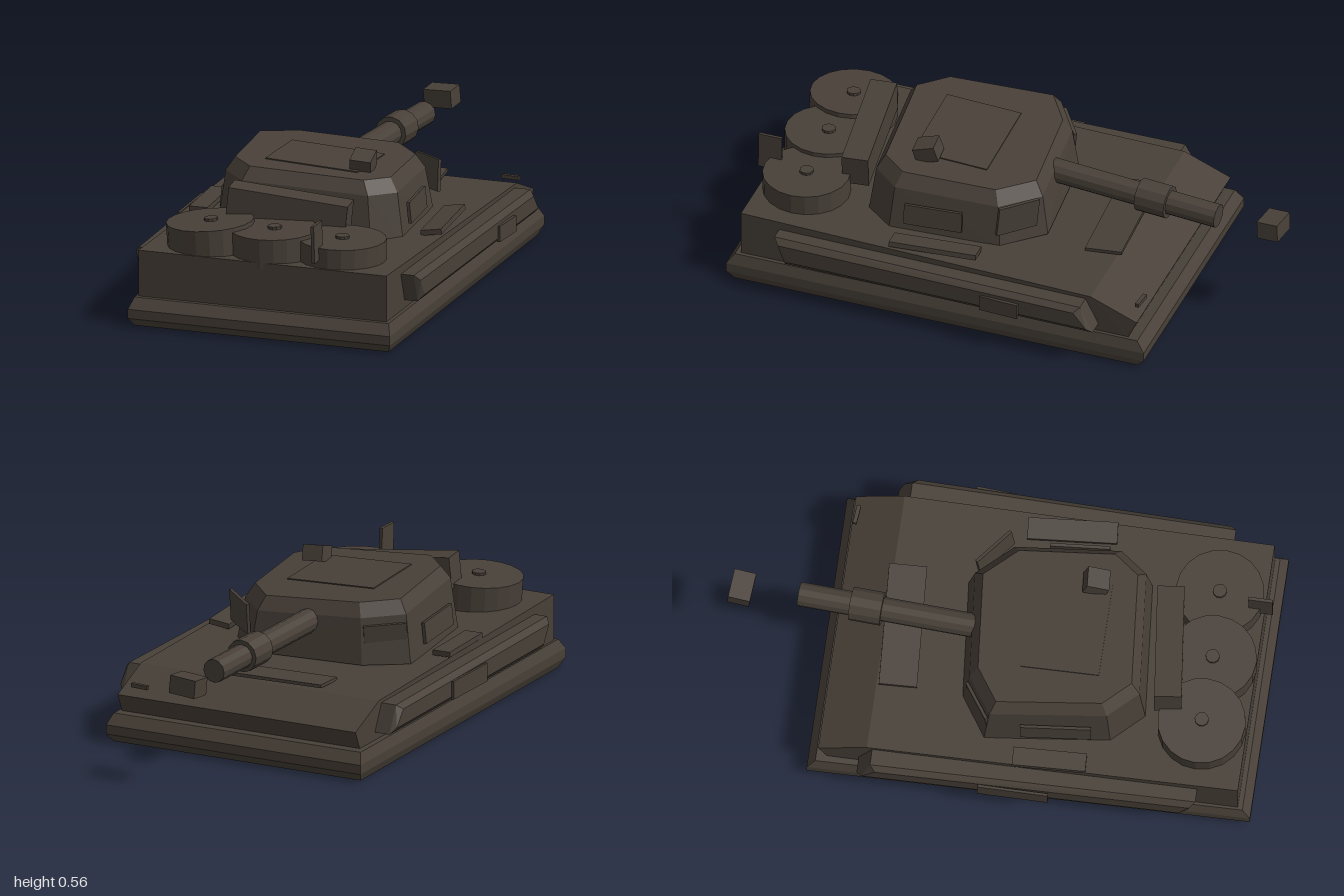
import * as THREE from 'three';
import { ConvexGeometry } from 'three/addons/geometries/ConvexGeometry.js';

const paint = new THREE.MeshStandardMaterial({ color: 0x484038, flatShading: true });
paint.name = 'dark olive brown';

export function createModel() {
  const model = new THREE.Group();
  model.name = 'tank';

  const add = (name, geometry, pos = [0, 0, 0], rot = [0, 0, 0]) => {
    const mesh = new THREE.Mesh(geometry, paint);
    mesh.name = name;
    mesh.position.set(...pos);
    mesh.rotation.set(...rot);
    model.add(mesh);
    return mesh;
  };
  const box = (name, size, pos, rot) => add(name, new THREE.BoxGeometry(...size), pos, rot);
  const solid = (name, points) =>
    add(name, new ConvexGeometry(points.map(p => new THREE.Vector3(...p))));

  // Tapered track base with chamfered edges: [y, inset] rings
  const base = [];
  for (const [y, i] of [[0.297, 0.03], [0.33, 0], [0.365, 0], [0.405, 0.03]]) {
    const s = i * 0.5;
    base.push([-0.535 + s, y, -0.637 + i], [0.523 - s, y, -0.637 + i],
      [0.513 - s, y, 0.998 - i], [-0.507 + s, y, 0.998 - i]);
  }
  solid('trackBase', base);

  // Upper hull, side profile [z, y] spanning the width
  const hull = [];
  for (const [z, y] of [[0.95, 0.4], [0.95, 0.58], [-0.42, 0.548], [-0.6, 0.475], [-0.565, 0.4]]) {
    const taper = z > 0 ? 0.012 : 0;
    hull.push([-0.495 + taper, y, z], [0.495 - taper, y, z]);
  }
  solid('upperHull', hull);

  // Side sponsons, chamfered towards the outside
  for (const s of [-1, 1]) {
    const pts = [];
    for (const [z, y] of [[0.8, 0.545], [-0.4, 0.535], [-0.45, 0.435], [0.76, 0.435]]) {
      const out = z > 0 ? 0.555 : 0.575;
      const mid = 0.49;
      pts.push([s * 0.44, y, z], [s * (out - 0.02), y, z],
        [s * out, y + (mid - y) * 0.4, z + (z > 0 ? -0.02 : 0.02)]);
    }
    solid(s < 0 ? 'rightSponson' : 'leftSponson', pts);
  }
  box('leftSidePlate', [0.012, 0.06, 0.15], [0.575, 0.475, -0.09], [0, -0.06, 0]);
  box('rightSidePlate', [0.01, 0.07, 0.26], [-0.575, 0.485, 0.13]);
  box('rightDeckPlate', [0.07, 0.02, 0.27], [-0.46, 0.578, 0.25], [0, 0.04, 0]);
  box('leftDeckPlate', [0.08, 0.02, 0.33], [0.435, 0.58, 0.21], [0, 0.08, -0.15 * -1]);
  box('sternDeckPlate', [0.47, 0.012, 0.14], [-0.01, 0.56, -0.355], [0.06, 0.06, 0]);
  box('sternFitting', [0.07, 0.015, 0.015], [0.41, 0.515, -0.585], [0, -0.1, 0]);

  // Turret: one octagonal outline shrunk upward, with a sloping roof
  const outline = [[-0.4, 0], [-0.25, -0.1], [0.19, -0.14], [0.32, 0],
    [0.355, 0.42], [0.27, 0.53], [-0.24, 0.575], [-0.35, 0.46]];
  const roofY = (x, z) => 0.785 - 0.045 * x + 0.045 * (z - 0.22);
  const turret = [];
  outline.forEach(([x, z]) => {
    for (const [k, drop] of [[1, null], [0.93, 0.05], [0.84, 0]]) {
      const px = -0.02 + (x + 0.02) * k, pz = 0.22 + (z - 0.22) * k;
      turret.push([px, drop === null ? 0.56 : roofY(px, pz) - drop, pz]);
    }
  });
  solid('turret', turret);

  // Roof hatch and sight
  box('roofHatch', [0.36, 0.006, 0.29], [-0.01, roofY(-0.01, 0.25) + 0.001, 0.25], [-0.045, 0, -0.045]);
  box('roofSight', [0.08, 0.06, 0.085], [0.17, 0.81, 0.335], [0.3, 0.05, -0.08]);

  // Turret corner shields and stowage bin
  box('leftCornerShield', [0.17, 0.12, 0.012], [0.28, 0.675, -0.055], [-0.1, -0.7, 0]);
  box('rightCornerShield', [0.16, 0.1, 0.012], [-0.315, 0.66, -0.035], [-0.1, 0.6, 0]);
  box('leftTurretPlate', [0.012, 0.08, 0.22], [0.348, 0.64, 0.25], [0, 0.08, 0.1]);
  box('rightTurretPlate', [0.012, 0.08, 0.26], [-0.372, 0.64, 0.26], [0, 0.1, -0.1]);
  box('stowageBin', [0.45, 0.12, 0.1], [-0.01, 0.695, 0.63], [0, 0.115, -0.1]);

  // Gun barrel and sleeve along one axis
  const breech = new THREE.Vector3(-0.025, 0.697, -0.05);
  const muzzle = new THREE.Vector3(0.018, 0.674, -0.742);
  const dir = muzzle.clone().sub(breech).normalize();
  const tube = (name, t0, t1, r) => {
    const a = breech.clone().lerp(muzzle, t0), b = breech.clone().lerp(muzzle, t1);
    const m = add(name, new THREE.CylinderGeometry(r, r, a.distanceTo(b), 12),
      a.clone().add(b).multiplyScalar(0.5).toArray());
    m.quaternion.setFromUnitVectors(new THREE.Vector3(0, 1, 0), dir);
  };
  tube('gunBarrel', 0, 1, 0.045);
  tube('barrelSleeve', 0.55, 0.72, 0.062);
  box('muzzleBlock', [0.11, 0.068, 0.082], [0.01, 0.68, -0.954], [0.06, -0.08, 0.06]);

  // Three drums on the front deck, each with a centre cap
  for (const [x, top, z, tilt] of [[-0.26, 0.672, 0.785, 0.07], [-0.01, 0.668, 0.79, 0.02], [0.25, 0.655, 0.78, -0.01]]) {
    add('deckDrum', new THREE.CylinderGeometry(0.162, 0.162, 0.11, 20), [x, top - 0.055, z], [0, 0, tilt]);
    add('drumCap', new THREE.CylinderGeometry(0.026, 0.026, 0.016, 10), [x, top + 0.002, z], [0, 0, tilt]);
  }
  box('frontPost', [0.012, 0.14, 0.09], [0.207, 0.678, 0.937], [0, 0, 0.03]);

  return model;
}
